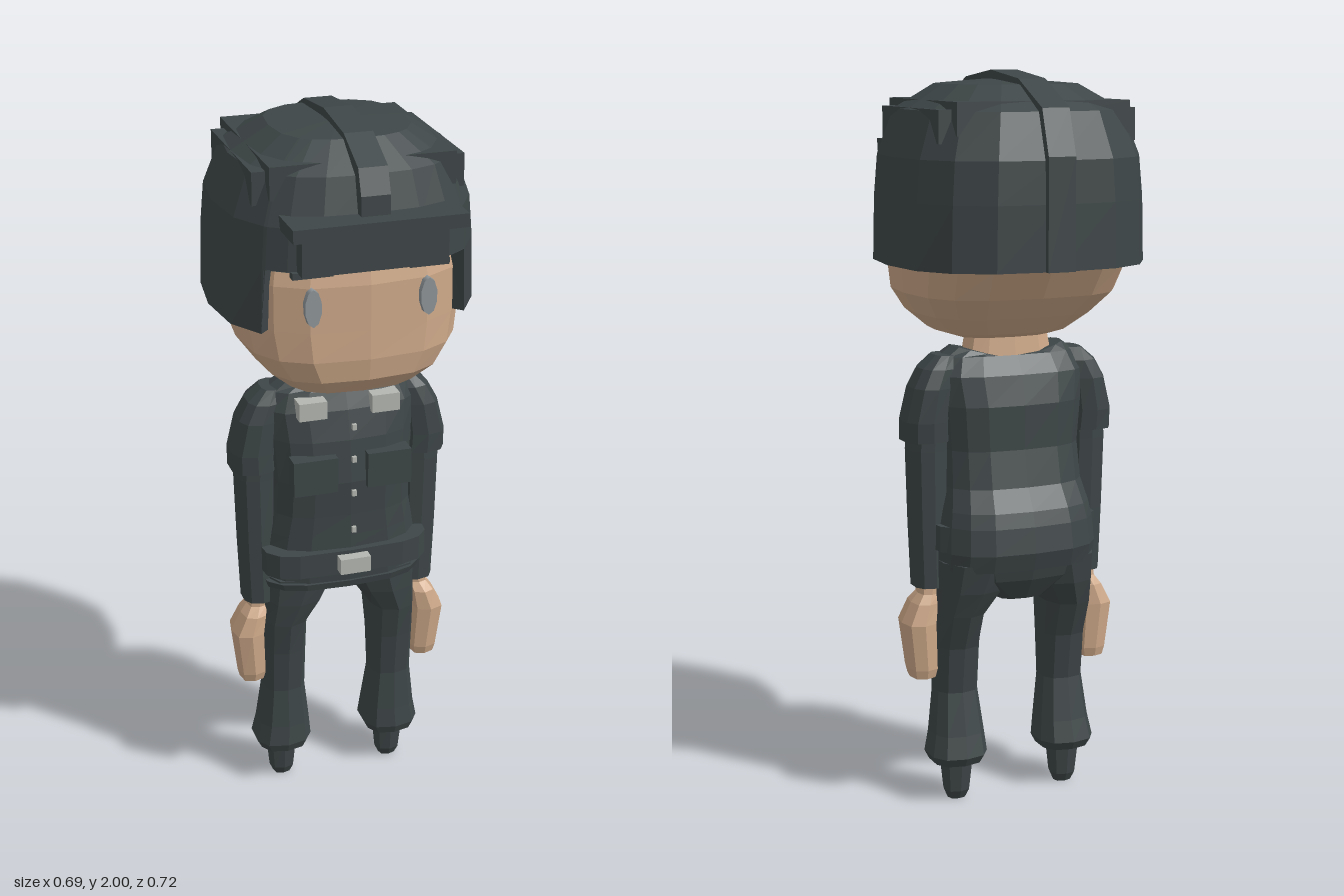
import * as THREE from 'three';

const mat = (name, color) => {
  const m = new THREE.MeshStandardMaterial({ color });
  m.name = name;
  return m;
};

// Rounded-square cross-section: [y, half width, front z, back z, centre x]
function ring([y, hw, zf, zb, cx = 0], angles, p, side, yRule) {
  const zm = (zf + zb) / 2, hd = (zf - zb) / 2;
  const bend = v => Math.sign(v) * Math.pow(Math.abs(v), 2 / p);
  return angles.map(deg => {
    const a = deg * Math.PI / 180;
    const sx = bend(Math.sin(a)), sz = bend(Math.cos(a));
    return new THREE.Vector3(cx * side + hw * sx, yRule ? yRule(y, sx, deg) : y, zm + hd * sz);
  });
}

// Faceted skin over rings listed from bottom to top
function loft(rings, { capBottom = true, capTop = true, apex = 0 } = {}) {
  const v = [];
  const put = (...pts) => pts.forEach(q => v.push(q.x, q.y, q.z));
  const n = rings[0].length;
  const middle = r => r.reduce((s, q) => s.add(q), new THREE.Vector3()).divideScalar(n);
  for (let k = 0; k < rings.length - 1; k++) {
    const a = rings[k], b = rings[k + 1];
    for (let i = 0; i < n; i++) {
      const j = (i + 1) % n;
      put(a[i], a[j], b[j], a[i], b[j], b[i]);
    }
  }
  const lo = rings[0], hi = rings[rings.length - 1];
  const cLo = middle(lo), cHi = middle(hi);
  cHi.y += apex;
  for (let i = 0; i < n; i++) {
    const j = (i + 1) % n;
    if (capBottom) put(cLo, lo[j], lo[i]);
    if (capTop) put(cHi, hi[i], hi[j]);
  }
  const g = new THREE.BufferGeometry();
  g.setAttribute('position', new THREE.Float32BufferAttribute(v, 3));
  g.computeVertexNormals();
  return g;
}

const evenAngles = n => Array.from({ length: n }, (_, i) => i * 360 / n);

export function createModel() {
  const model = new THREE.Group();
  const cloth = mat('dark uniform', 0x3e4647);
  const skin = mat('skin', 0xcfaa8a);
  const metal = mat('pale metal', 0xb4b7b1);
  const eyeGrey = mat('eye grey', 0x90979a);

  const add = (name, geo, material) => {
    const m = new THREE.Mesh(geo, material);
    m.name = name;
    model.add(m);
    return m;
  };
  const body = (name, material, sections, { n = 12, p = 2.6, side = 1, ...caps } = {}) =>
    add(name, loft(sections.map(s => ring(s, evenAngles(n), p, side)), caps), material);
  // Box given by its limits
  const box = (name, material, x0, x1, y0, y1, z0, z1) => {
    const g = new THREE.BoxGeometry(x1 - x0, y1 - y0, z1 - z0);
    g.translate((x0 + x1) / 2, (y0 + y1) / 2, (z0 + z1) / 2);
    return add(name, g, material);
  };

  // Head and neck
  body('head', skin, [
    [1.285, .10, .14, -.04], [1.31, .18, .22, -.11], [1.36, .24, .27, -.18], [1.42, .285, .28, -.25],
    [1.5, .30, .28, -.305], [1.62, .30, .28, -.31], [1.72, .28, .26, -.29],
  ], { n: 16, p: 2.9 });
  body('neck', skin, [[1.2, .14, .05, -.08], [1.32, .115, .05, -.07]]);

  // Helmet shell with an open face
  const half = [16, 32, 44, 46, 68, 90, 112, 135, 158];
  const angles = [0, ...half, 180, ...half.map(a => 360 - a).reverse()];
  const rim = (y, sx, deg) => (deg < 45 || deg > 315 ? 1.67 : y);
  const shell = [
    ring([1.5, .30, .255, -.305], angles, 2.7, 1, rim),
    ring([1.5, .345, .30, -.35], angles, 2.7, 1, rim),
    ...[[1.67, .34, .30, -.35], [1.78, .33, .297, -.345], [1.9, .285, .265, -.305], [1.965, .18, .17, -.19]]
      .map(s => ring(s, angles, 2.7, 1)),
  ];
  add('helmetShell', loft(shell, { capBottom: false, apex: .015 }), cloth);

  // Raised strap along the crown
  const path = [[.315, 1.77], [.31, 1.86], [.285, 1.925], [.17, 1.98], [0, 2], [-.175, 1.98],
    [-.32, 1.91], [-.36, 1.79], [-.362, 1.5]];
  const inner = path.map(([z, y]) => [z * .88, 1.5 + (y - 1.5) * .9]).reverse();
  const strap = new THREE.ExtrudeGeometry(
    new THREE.Shape([...path, ...inner].map(q => new THREE.Vector2(...q))), { depth: .076, bevelEnabled: false });
  strap.rotateY(-Math.PI / 2);
  strap.translate(.038, 0, 0);
  add('helmetStrap', strap, cloth);

  // Brow plate, visor bar and side rails
  box('browPlate', cloth, -.19, .19, 1.67, 1.775, .2, .315);
  box('visorBar', cloth, -.225, .225, 1.775, 1.81, .22, .362);
  box('helmetRailWide', cloth, -.277, .277, 1.82, 1.905, -.22, .18);
  box('helmetRailLong', cloth, -.242, .242, 1.84, 1.925, -.257, .217);

  // Jacket with a dipped neckline
  const dip = (y, sx) => (y > 1.27 ? y - .04 * (1 - Math.abs(sx)) : y);
  const jacket = [
    [.68, .225, .11, -.2], [.73, .225, .115, -.215], [.8, .22, .12, -.205], [.84, .213, .12, -.193],
    [.9, .2, .12, -.16], [1, .196, .125, -.14], [1.12, .205, .112, -.14], [1.2, .215, .092, -.12],
    [1.25, .195, .07, -.09], [1.275, .16, .058, -.078],
  ].map(s => ring(s, evenAngles(16), 2.8, 1, dip));
  add('jacket', loft(jacket, { apex: -.02 }), cloth);
  body('jacketHem', cloth, [[.675, .226, .113, -.15], [.695, .232, .118, -.15]], { n: 16, p: 3 });
  body('belt', cloth, [[.73, .238, .137, -.15], [.8, .238, .137, -.15]], { n: 16, p: 4 });
  box('beltBuckle', metal, -.043, .043, .745, .79, .13, .168);
  for (const y of [1.175, 1.08, .98, .87]) box('button', metal, -.006, .006, y - .008, y + .008, .143, .153);

  // Seat of the trousers
  body('trouserSeat', cloth, [[.59, .07, -.05, -.15], [.65, .17, .06, -.187], [.71, .2, .09, -.205]], { n: 12 });

  for (const side of [1, -1]) {
    const word = side > 0 ? 'left' : 'right';
    const pair = (x0, x1) => (side > 0 ? [x0, x1] : [-x1, -x0]);

    // Eye and brow
    const eye = new THREE.CylinderGeometry(1, 1, .02, 10);
    eye.rotateX(Math.PI / 2);
    eye.scale(.022, .05, 1);
    eye.translate(side * .152, 1.575, .275);
    add(word + 'Eye', eye.toNonIndexed(), eyeGrey);
    box(word + 'Eyebrow', cloth, ...pair(.1, .205), 1.655, 1.672, .255, .283);

    // Chest pocket and collar patch
    box(word + 'Pocket', cloth, ...pair(.042, .165), .985, 1.085, .09, .14);
    box(word + 'CollarPatch', metal, ...pair(.063, .14), 1.19, 1.24, .06, .11);

    // Arm, shoulder cap and hand
    body(word + 'Sleeve', cloth, [
      [.62, .05, .042, -.065, .227], [.8, .052, .046, -.07, .232], [1, .054, .05, -.075, .235],
      [1.15, .055, .055, -.08, .225], [1.22, .045, .04, -.07, .205],
    ], { n: 10, side });
    body(word + 'ShoulderCap', cloth, [
      [1.025, .064, .06, -.085, .24], [1.08, .062, .062, -.09, .242], [1.17, .055, .06, -.09, .227],
      [1.22, .05, .05, -.08, .205], [1.255, .03, .03, -.06, .185],
    ], { n: 10, side });
    body(word + 'Hand', skin, [
      [.365, .034, .032, -.06, .255], [.39, .04, .04, -.067, .255], [.52, .046, .052, -.075, .265],
      [.575, .035, .045, -.065, .248], [.6, .028, .025, -.052, .236], [.64, .03, .025, -.05, .23],
    ], { n: 8, p: 3, side });

    // Trouser leg and shoe
    body(word + 'TrouserLeg', cloth, [
      [.115, .07, .04, -.105, .163], [.14, .083, .05, -.12, .163], [.2, .074, .045, -.105, .16],
      [.32, .06, .04, -.082, .16], [.45, .063, .055, -.1, .16], [.55, .066, .075, -.14, .159],
      [.62, .09, .09, -.17, .135], [.7, .113, .1, -.19, .114],
    ], { n: 10, side });
    body(word + 'Shoe', cloth, [
      [.005, .025, -.012, -.06, .163], [.03, .036, 0, -.073, .163], [.13, .046, .012, -.085, .163],
    ], { n: 8, side });
  }
  return model;
}
